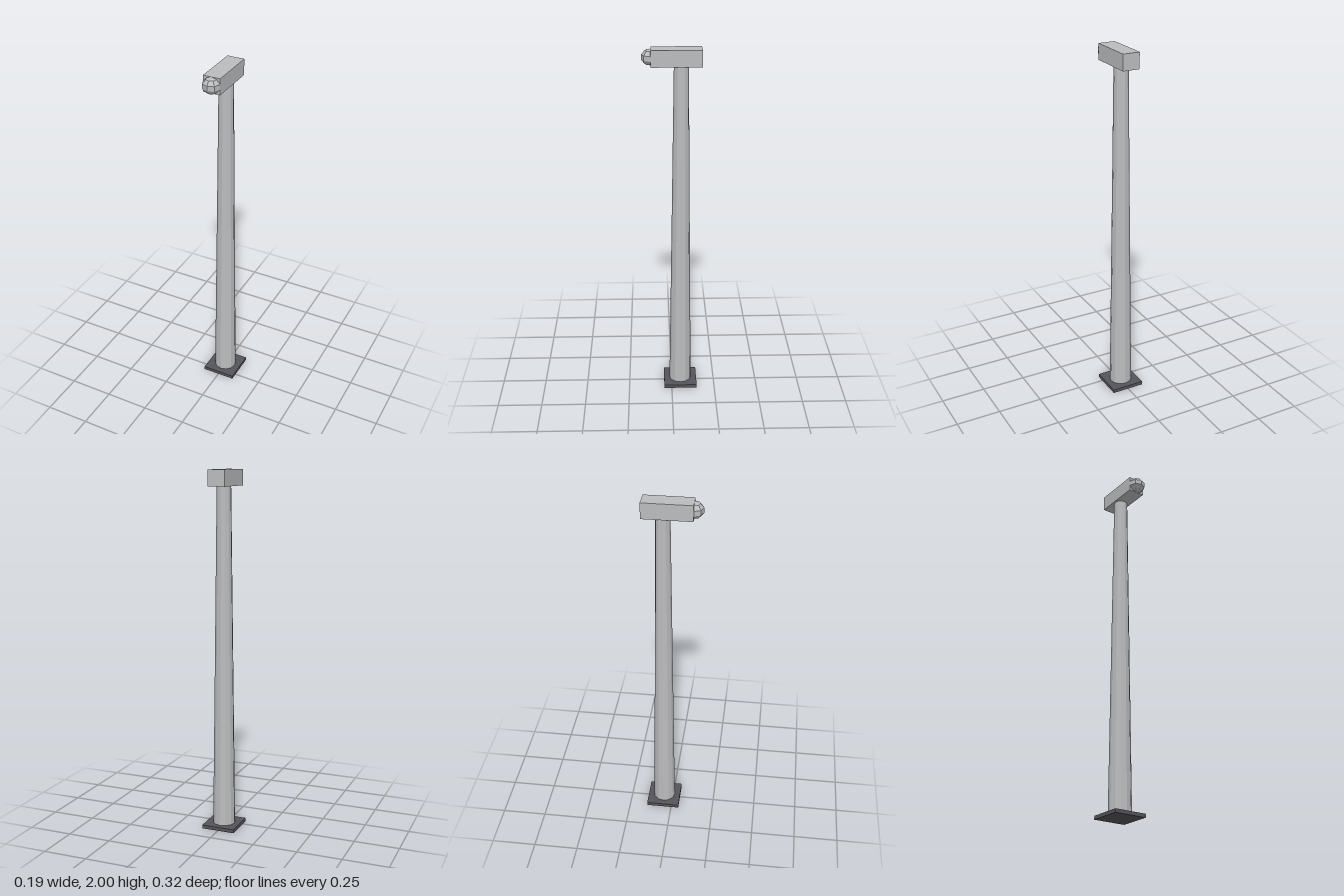
import * as THREE from 'three';

export function createModel() {
  const model = new THREE.Group();
  model.name = 'polePostWithHead';

  const paleGrey = new THREE.MeshStandardMaterial({ color: 0xbbbcbe, flatShading: true });
  paleGrey.name = 'pale grey';
  const darkGrey = new THREE.MeshStandardMaterial({ color: 0x55545b, flatShading: true });
  darkGrey.name = 'dark grey';

  const add = (name, geometry, material, y, z) => {
    const mesh = new THREE.Mesh(geometry, material);
    mesh.name = name;
    mesh.position.set(0, y, z);
    model.add(mesh);
    return mesh;
  };

  const poleZ = -0.051;

  // Square foot plate
  add('basePlate', new THREE.BoxGeometry(0.19, 0.02, 0.19), darkGrey, 0.01, poleZ);

  // Tapered faceted pole
  add('pole', new THREE.CylinderGeometry(0.039, 0.063, 1.892, 12), paleGrey, 0.966, poleZ);

  // Long housing on top, reaching forward
  add('housing', new THREE.BoxGeometry(0.095, 0.088, 0.267), paleGrey, 1.956, -0.0255);

  // Faceted dome on the housing's front end
  const dome = add('lensDome', new THREE.SphereGeometry(0.05, 8, 5), paleGrey, 1.956, 0.109);
  dome.scale.y = 0.87;

  return model;
}
